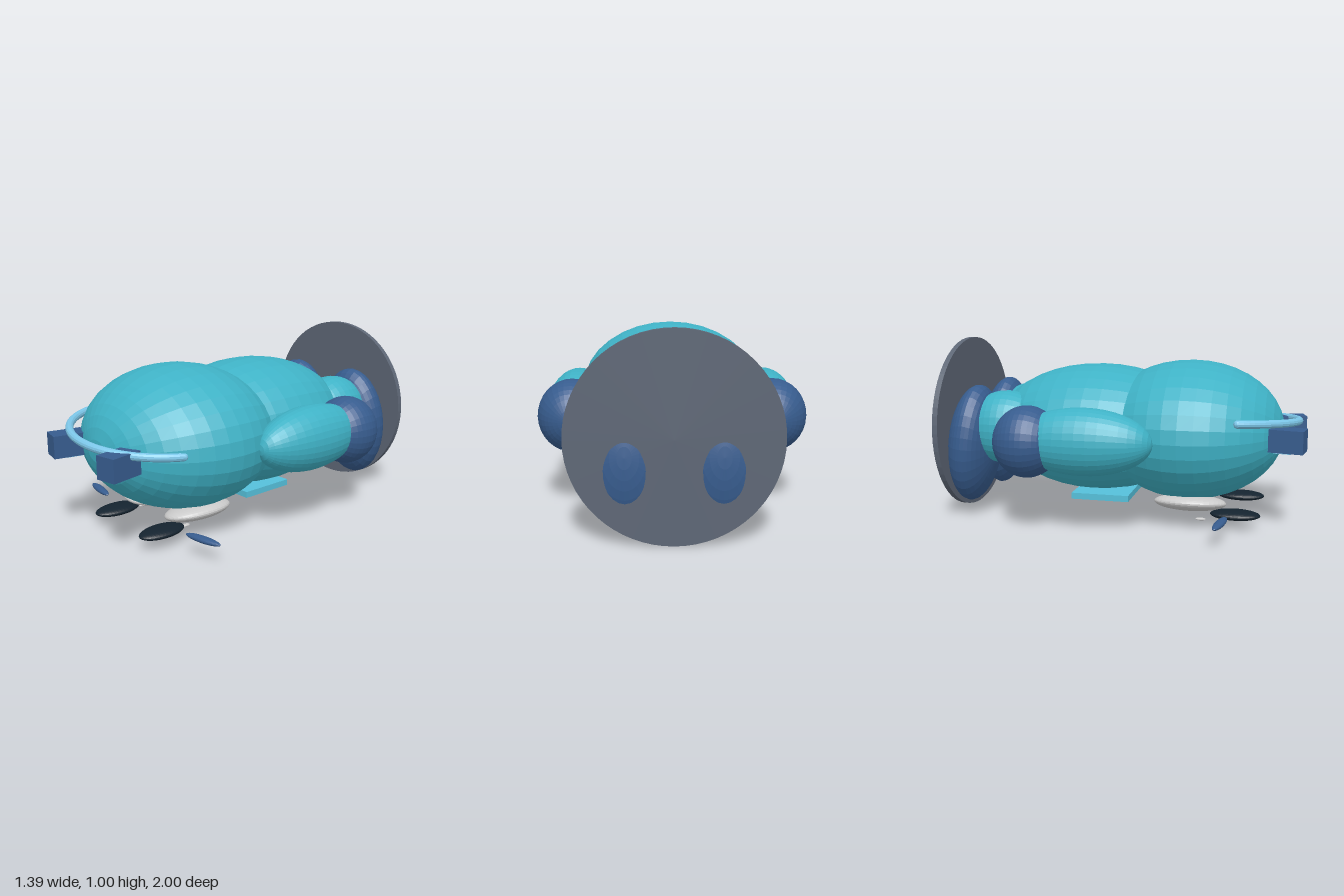
import * as THREE from 'three';

const mat = (color) => new THREE.MeshStandardMaterial({ color, flatShading: true });
const TEAL = mat(0x3fb2c6), BLUE = mat(0x375c8e), DARK = mat(0x14232f), GREY = mat(0x5d6675);
const CYAN = mat(0x7cc6e8), PLATE = mat(0x55c0da), WHITE = mat(0xe8e8e8);

export function createModel() {
  const model = new THREE.Group();

  const add = (name, geometry, material, pos, rot = [0, 0, 0]) => {
    const mesh = new THREE.Mesh(geometry, material);
    mesh.name = name;
    mesh.position.set(...pos);
    mesh.rotation.set(...rot);
    model.add(mesh);
    return mesh;
  };
  // Ellipsoid with its poles along z, the axis the figure lies on
  const blob = (name, material, pos, radii, rot, w = 32, h = 20) =>
    add(name, new THREE.SphereGeometry(1, w, h).rotateX(Math.PI / 2).scale(...radii), material, pos, rot);

  // Head and body of the figure lying face down
  blob('head', TEAL, [0, 0.508, 0.36], [0.535, 0.387, 0.52]);
  blob('body', TEAL, [0, 0.505, -0.17], [0.465, 0.36, 0.61]);

  // Standing base, upright behind the feet
  add('base', new THREE.CylinderGeometry(0.502, 0.502, 0.03, 64).rotateX(Math.PI / 2), GREY, [0, 0.504, -0.968]);

  for (const s of [1, -1]) {
    const side = s > 0 ? 'left' : 'right';
    // Limbs
    blob(side + 'Arm', TEAL, [s * 0.52, 0.505, -0.13], [0.155, 0.177, 0.37]);
    blob(side + 'Hand', BLUE, [s * 0.518, 0.493, -0.43], [0.178, 0.19, 0.18]);
    blob(side + 'Leg', TEAL, [s * 0.21, 0.51, -0.66], [0.19, 0.21, 0.24]);
    blob(side + 'Foot', BLUE, [s * 0.225, 0.412, -0.858], [0.22, 0.338, 0.136], [0.1, 0, 0]);

    // Face, on the underside of the head
    blob(side + 'Eye', WHITE, [s * 0.195, 0.128, 0.387], [0.138, 0.046, 0.198], [0, 0, s * 0.2]);
    blob(side + 'Pupil', DARK, [s * 0.207, 0.078, 0.635], [0.074, 0.027, 0.135]);
    blob(side + 'EyeGlint', WHITE, [s * 0.196 - 0.028, 0.046, 0.45], [0.015, 0.007, 0.028], undefined, 16, 10);
    blob(side + 'Cheek', BLUE, [s * 0.475, 0.105, 0.58], [0.112, 0.017, 0.025], [0, s * 0.17, 0], 24, 12);

    // Box with a small tab, on top of the head
    add(side + 'Box', new THREE.BoxGeometry(0.115, 0.12, 0.18), BLUE, [s * 0.243, 0.505, 0.9], [0, s * 0.2, 0]);
    add(side + 'BoxTab', new THREE.BoxGeometry(0.035, 0.02, 0.09), CYAN, [s * 0.232, 0.442, 0.875], [0, s * 0.2, 0]);
  }

  // Tilted band curving around the crown
  const R = 0.455, half = 1.23, tube = 0.021;
  const band = new THREE.Group();
  band.name = 'headBand';
  const arc = new THREE.TorusGeometry(R, tube, 12, 40, 2 * half);
  arc.rotateZ(Math.PI / 2 - half).rotateX(Math.PI / 2);
  band.add(new THREE.Mesh(arc, CYAN));
  for (const s of [1, -1]) {
    const tip = new THREE.Mesh(new THREE.SphereGeometry(tube, 12, 8), CYAN);
    tip.position.set(s * R * Math.sin(half), 0, R * Math.cos(half));
    band.add(tip);
  }
  band.position.set(0, 0.573, 0.5);
  band.rotation.z = -0.085;
  model.add(band);

  // Belly plate and its small button
  add('bellyPlate', new THREE.BoxGeometry(0.42, 0.035, 0.33), PLATE, [0, 0.127, -0.125]);
  blob('plateButton', BLUE, [0, 0.101, -0.216], [0.064, 0.014, 0.014], undefined, 20, 10);

  return model;
}
